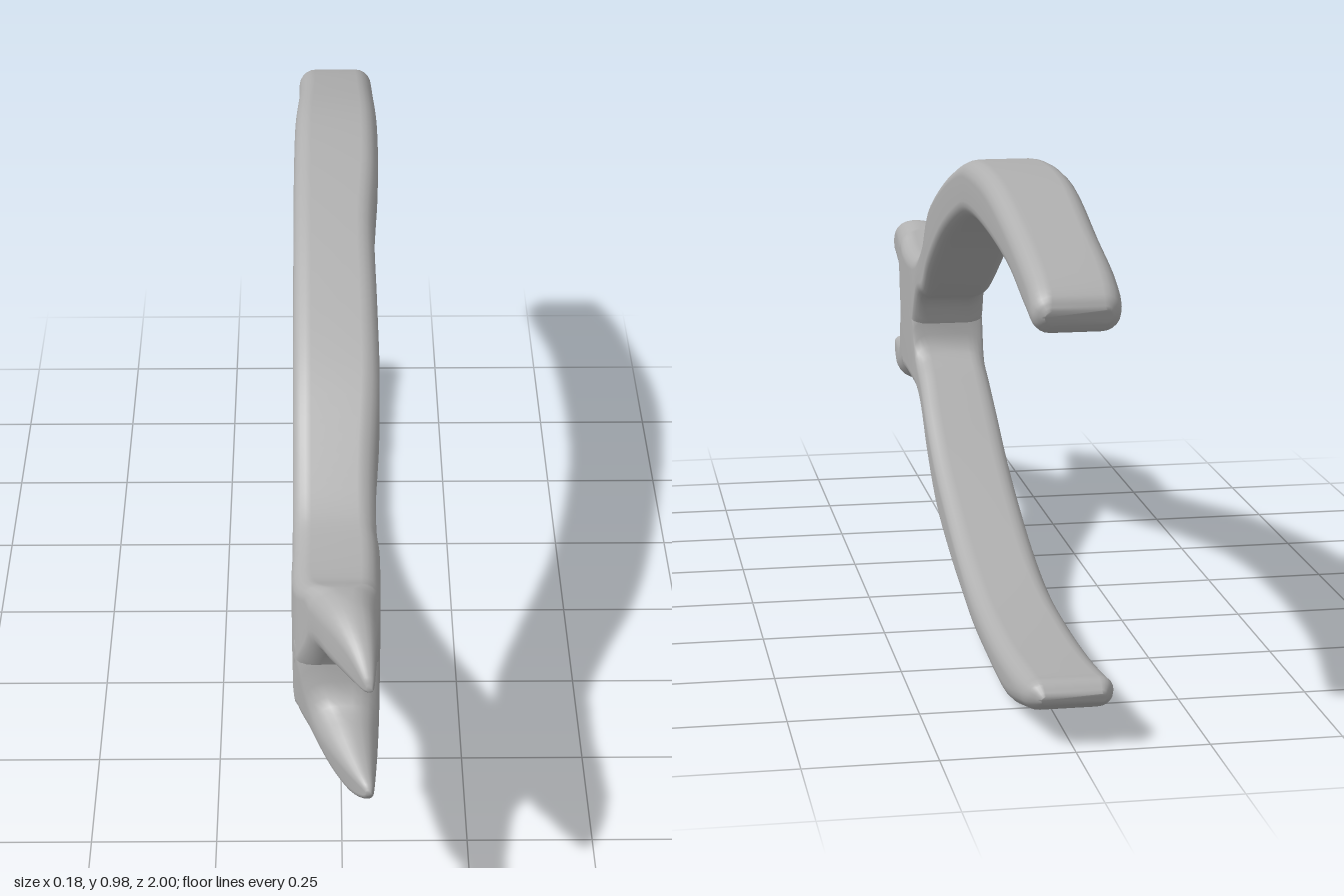
import * as THREE from 'three';

// Stations from handle end to jaw tip: [top z, top y, bottom z, bottom y, min x, max x]
const UPPER = [
  [-0.998, 0.815, -0.99, 0.79, -0.06, 0.06],
  [-0.985, 0.84, -0.965, 0.77, -0.08, 0.078],
  [-0.93, 0.87, -0.91, 0.78, -0.085, 0.08],
  [-0.76, 0.923, -0.74, 0.828, -0.085, 0.082],
  [-0.52, 0.976, -0.52, 0.86, -0.092, 0.086],
  [-0.3, 0.98, -0.28, 0.862, -0.094, 0.084],
  [-0.1, 0.952, -0.06, 0.822, -0.094, 0.073],
  [0.1, 0.89, 0.14, 0.745, -0.094, 0.076],
  [0.28, 0.81, 0.31, 0.645, -0.094, 0.078],
  [0.44, 0.705, 0.46, 0.563, -0.094, 0.068],
  [0.54, 0.65, 0.55, 0.535, -0.094, 0.068],
  [0.6, 0.639, 0.595, 0.44, -0.094, 0.073],
  [0.73, 0.643, 0.765, 0.44, -0.092, 0.072],
  [0.79, 0.665, 0.81, 0.525, -0.064, 0.07],
  [0.86, 0.673, 0.88, 0.55, -0.033, 0.066],
  [0.94, 0.65, 0.95, 0.57, 0.007, 0.06],
  [0.99, 0.614, 0.99, 0.58, 0.034, 0.056],
  [1.0, 0.597, 1.0, 0.587, 0.043, 0.053],
];
const LOWER = [
  [-0.98, 0.102, -0.976, 0.085, -0.06, 0.06],
  [-0.957, 0.122, -0.945, 0.066, -0.078, 0.08],
  [-0.9, 0.115, -0.88, 0.045, -0.085, 0.084],
  [-0.72, 0.097, -0.72, 0.006, -0.088, 0.084],
  [-0.5, 0.086, -0.5, 0.001, -0.092, 0.08],
  [-0.28, 0.092, -0.28, 0.006, -0.094, 0.075],
  [-0.1, 0.123, -0.14, 0.03, -0.094, 0.073],
  [0.06, 0.175, 0.02, 0.064, -0.094, 0.073],
  [0.24, 0.25, 0.2, 0.124, -0.094, 0.074],
  [0.38, 0.325, 0.34, 0.205, -0.094, 0.072],
  [0.48, 0.38, 0.46, 0.275, -0.094, 0.068],
  [0.56, 0.425, 0.54, 0.312, -0.094, 0.068],
  [0.595, 0.54, 0.6, 0.325, -0.094, 0.073],
  [0.765, 0.54, 0.73, 0.323, -0.092, 0.072],
  [0.81, 0.422, 0.79, 0.3, -0.064, 0.07],
  [0.88, 0.395, 0.86, 0.285, -0.033, 0.066],
  [0.95, 0.373, 0.94, 0.294, 0.007, 0.06],
  [0.99, 0.36, 0.99, 0.325, 0.034, 0.056],
  [1.0, 0.35, 1.0, 0.34, 0.043, 0.053],
];

// Loft of rounded-rectangle sections along the stations
function loftLever(stations) {
  const top = new THREE.CatmullRomCurve3(stations.map(s => new THREE.Vector3(s[4], s[1], s[0])));
  const bottom = new THREE.CatmullRomCurve3(stations.map(s => new THREE.Vector3(s[5], s[3], s[2])));
  const rows = (stations.length - 1) * 4, corner = 6, ring = corner * 4;
  const positions = [], index = [];
  for (let i = 0; i <= rows; i++) {
    const t = top.getPoint(i / rows), b = bottom.getPoint(i / rows);
    const halfW = (b.x - t.x) / 2, halfH = Math.hypot(t.y - b.y, t.z - b.z) / 2;
    const uy = (t.y - b.y) / (2 * halfH), uz = (t.z - b.z) / (2 * halfH);
    const wantedRadius = t.z > 0.78 ? 0.05 : 0.036;
    const r = Math.min(wantedRadius, halfW * 0.9, halfH * 0.9);
    for (let q = 0; q < 4; q++) {
      const sx = q === 0 || q === 3 ? 1 : -1, sy = q < 2 ? 1 : -1;
      for (let k = 0; k < corner; k++) {
        const a = (q + k / (corner - 1)) * Math.PI / 2;
        const h = sy * (halfH - r) + r * Math.sin(a);
        positions.push((t.x + b.x) / 2 + sx * (halfW - r) + r * Math.cos(a),
          (t.y + b.y) / 2 + uy * h, (t.z + b.z) / 2 + uz * h);
      }
    }
  }
  for (let i = 0; i < rows; i++) {
    for (let j = 0; j < ring; j++) {
      const n = (j + 1) % ring;
      const a = i * ring + j, b = i * ring + n;
      index.push(a, b, a + ring, b, b + ring, a + ring);
    }
  }
  // End caps
  const last = rows * ring;
  for (let j = 1; j < ring - 1; j++) {
    index.push(0, j + 1, j, last, last + j, last + j + 1);
  }
  const geometry = new THREE.BufferGeometry();
  geometry.setAttribute('position', new THREE.Float32BufferAttribute(positions, 3));
  geometry.setIndex(index);
  geometry.computeVertexNormals();
  return geometry;
}

export function createModel() {
  const group = new THREE.Group();
  group.name = 'pliers';
  const grey = new THREE.MeshStandardMaterial({ color: 0xb0b0b0 });
  grey.name = 'grey metal';
  // Each lever is a handle, half of the pivot block and a jaw
  for (const [name, stations] of [['upperLever', UPPER], ['lowerLever', LOWER]]) {
    const lever = new THREE.Mesh(loftLever(stations), grey);
    lever.name = name;
    group.add(lever);
  }
  return group;
}
